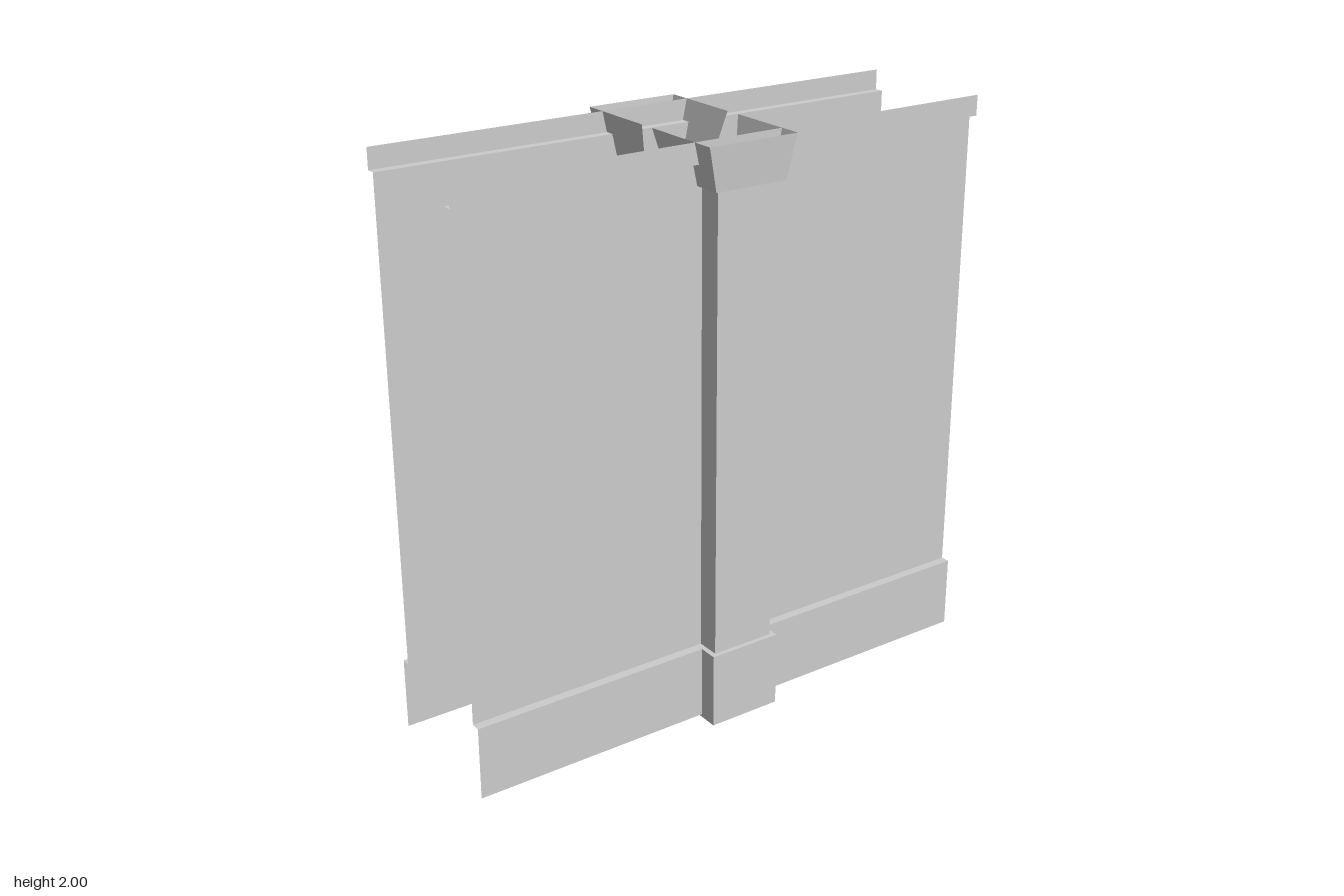
import * as THREE from 'three';

const material = new THREE.MeshStandardMaterial({
  color: 0xcccccc, flatShading: true, side: THREE.DoubleSide,
});

// Mesh from a list of quads, each four corners in counter-clockwise order
function quadMesh(name, quads) {
  const positions = [];
  for (const [a, b, c, d] of quads) positions.push(...a, ...b, ...c, ...a, ...c, ...d);
  const geometry = new THREE.BufferGeometry();
  geometry.setAttribute('position', new THREE.Float32BufferAttribute(positions, 3));
  geometry.computeVertexNormals();
  const mesh = new THREE.Mesh(geometry, material);
  mesh.name = name;
  return mesh;
}

// Three-sided outline, open towards the middle of the passage
const outline = (y, inner, outer, z) => [
  [inner, y, z], [outer, y, z], [outer, y, -z], [inner, y, -z],
];

// Three-sided shell between two outlines, with optional lids
function shell(name, low, high, { top = false, bottom = false } = {}) {
  const quads = [];
  for (let i = 0; i < 3; i++) quads.push([low[i], low[i + 1], high[i + 1], high[i]]);
  if (top) quads.push(high);
  if (bottom) quads.push([...low].reverse());
  return quadMesh(name, quads);
}

// Single folded sheet: skirting, recessed panel and cornice
function wallSheet() {
  const face = 0.255, recess = 0.223, z = 0.985;
  const profile = [
    [face, 0.01], [face, 0.265], [recess, 0.265],
    [recess, 1.93], [face, 1.93], [face, 2],
  ];
  const quads = [];
  for (let i = 0; i < profile.length - 1; i++) {
    const [p, q] = [profile[i], profile[i + 1]];
    quads.push([[...p, z], [...p, -z], [...q, -z], [...q, z]]);
  }
  return quadMesh('wallPanel', quads);
}

function wallSide(name) {
  const side = new THREE.Group();
  side.name = name;
  side.add(
    wallSheet(),
    // Base block, closed on top
    shell('pillarBase', outline(0, 0.06, 0.322, 0.132), outline(0.265, 0.06, 0.322, 0.132), { top: true }),
    // Square shaft
    shell('pillarShaft', outline(0.265, 0.12, 0.305, 0.114), outline(1.855, 0.12, 0.305, 0.114)),
    // Flared capital, closed underneath
    shell('pillarCapital', outline(1.855, 0.06, 0.322, 0.132), outline(2, 0.028, 0.332, 0.164), { bottom: true }),
  );
  return side;
}

export function createModel() {
  const model = new THREE.Group();
  model.name = 'pillaredWalls';
  const left = wallSide('leftWall');
  const right = wallSide('rightWall');
  right.scale.x = -1;
  model.add(left, right);
  return model;
}
